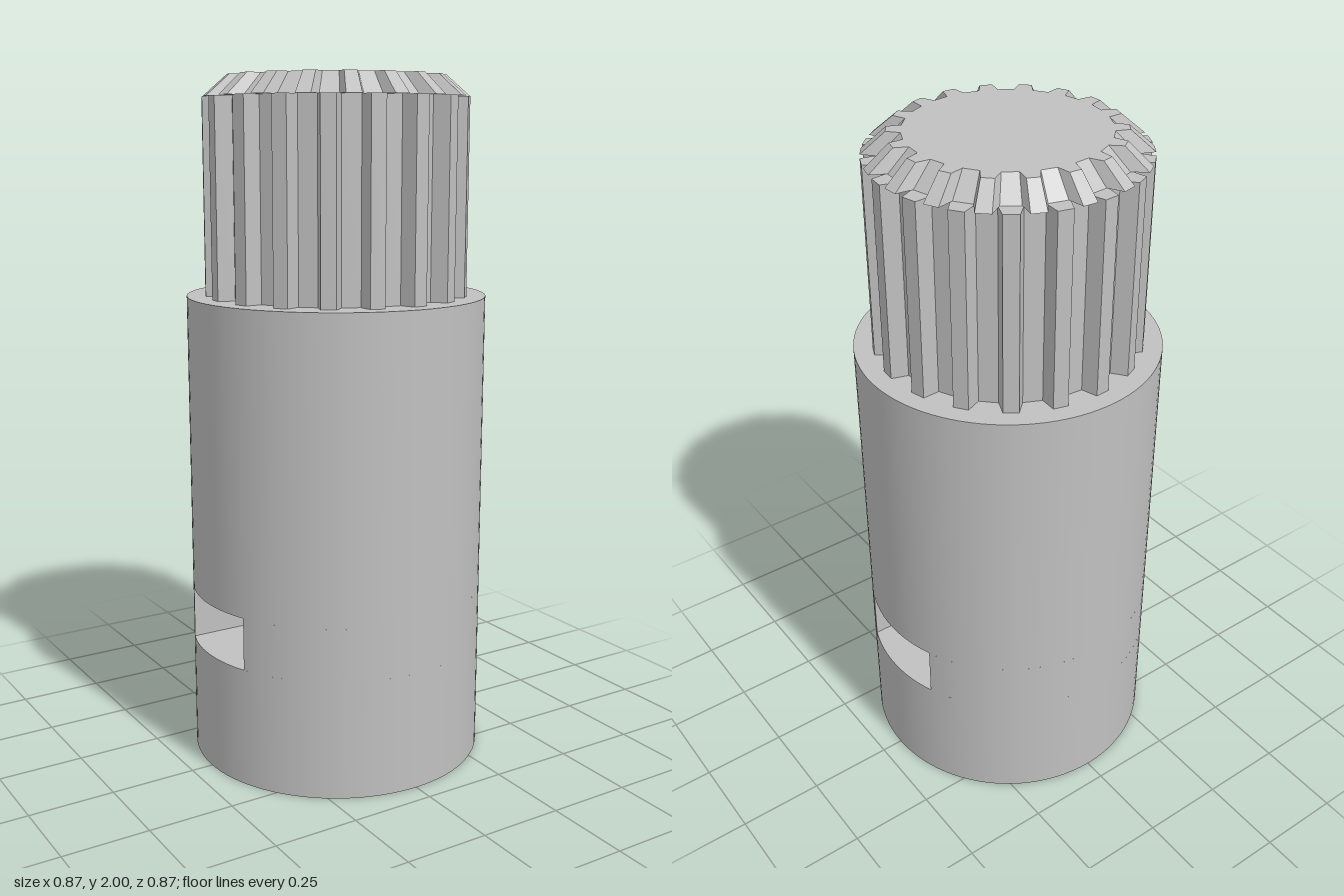
import * as THREE from 'three';

const R = 0.435, BODY_TOP = 1.38;
const SLOT_LOW = 0.35, SLOT_HIGH = 0.505, SLOT_HALF = 0.156;
const TEETH = 18, TIP_R = 0.381, ROOT_R = 0.334;
const rad = THREE.MathUtils.degToRad;

// Outline with trapezoidal teeth, the first one centred on the given angle
function splineShape(firstAngle) {
  const points = [];
  for (let i = 0; i < TEETH; i++) {
    const centre = firstAngle + (i * 360) / TEETH;
    for (const [r, offset] of [[ROOT_R, -5.4], [TIP_R, -3.2], [TIP_R, 3.2], [ROOT_R, 5.4]]) {
      const a = rad(centre + offset);
      points.push(new THREE.Vector2(r * Math.cos(a), r * Math.sin(a)));
    }
  }
  return new THREE.Shape(points);
}

// Upright toothed prism, its top outline scaled by taper
function splineGeometry(firstAngle, y0, y1, taper = 1) {
  const geo = new THREE.ExtrudeGeometry(splineShape(firstAngle), { depth: y1 - y0, bevelEnabled: false });
  const pos = geo.attributes.position;
  for (let i = 0; i < pos.count; i++) {
    if (pos.getZ(i) > 1e-4) pos.setXY(i, pos.getX(i) * taper, pos.getY(i) * taper);
  }
  geo.computeVertexNormals();
  return geo.rotateX(-Math.PI / 2).translate(0, y0, 0);
}

export function createModel() {
  const model = new THREE.Group();
  const steel = new THREE.MeshStandardMaterial({ color: 0xc0c0c0 });
  steel.name = 'grey steel';

  const add = (name, geo, parent = model) => {
    const mesh = new THREE.Mesh(geo, steel);
    mesh.name = name;
    parent.add(mesh);
    return mesh;
  };

  // Solid body below and above the cross slot
  const drum = (y0, y1) =>
    new THREE.CylinderGeometry(R, R, y1 - y0, 96).translate(0, (y0 + y1) / 2, 0);
  add('lowerBody', drum(0, SLOT_LOW));
  add('upperBody', drum(SLOT_HIGH, BODY_TOP));

  // Front and back cheeks beside the slot that runs through along x
  const height = SLOT_HIGH - SLOT_LOW;
  const half = Math.acos(SLOT_HALF / R);
  for (const [side, turn] of [['front', 0], ['back', Math.PI]]) {
    const cheek = new THREE.Group();
    cheek.name = side + 'SlotCheek';
    cheek.position.y = (SLOT_LOW + SLOT_HIGH) / 2;
    cheek.rotation.y = turn;
    add('cheekOuterWall', new THREE.CylinderGeometry(R, R, height, 40, 1, true, -half, 2 * half), cheek);
    const wall = new THREE.PlaneGeometry(2 * R * Math.sin(half), height);
    add('slotWall', wall.rotateY(Math.PI).translate(0, 0, SLOT_HALF), cheek);
    model.add(cheek);
  }

  // Straight splined shaft, and a tapered cap turned by half a tooth
  add('splinedShaft', splineGeometry(-5, BODY_TOP, 1.94));
  add('taperedCap', splineGeometry(5, 1.94, 2, 0.82));

  return model;
}
